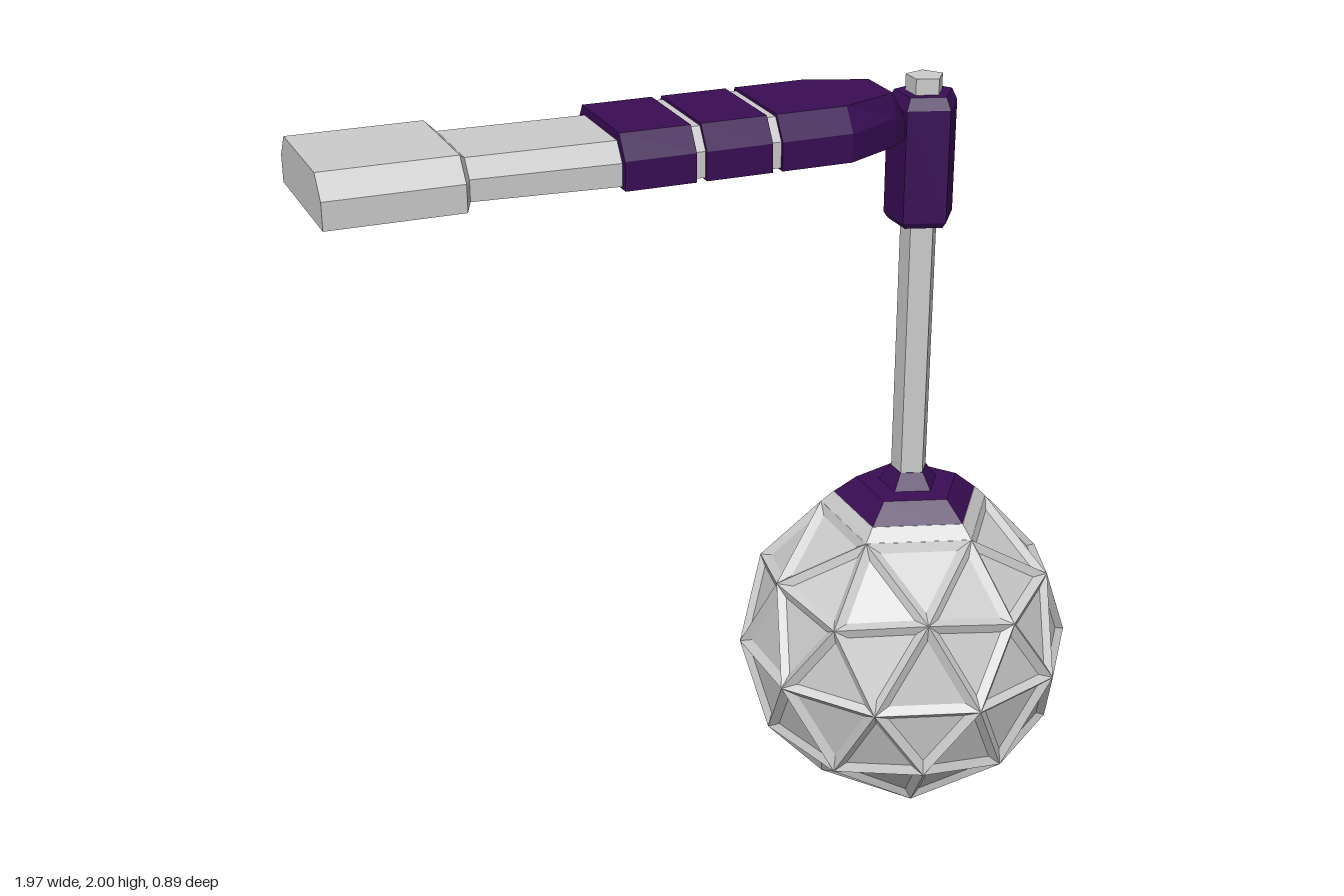
import * as THREE from 'three';

const CX = 0.56, CY = 0.445, R = 0.444;
const grey = new THREE.MeshStandardMaterial({ color: 0xcccccc, flatShading: true });
const purple = new THREE.MeshStandardMaterial({ color: 0x3a0d55, flatShading: true });

function add(group, name, geometry, material) {
  const mesh = new THREE.Mesh(geometry, material);
  mesh.name = name;
  group.add(mesh);
  return mesh;
}

function fromTriangles(tris) {
  const g = new THREE.BufferGeometry();
  g.setAttribute('position', new THREE.Float32BufferAttribute(tris.flatMap(v => [v.x, v.y, v.z]), 3));
  g.computeVertexNormals();
  return g;
}

// Five-sided turned part around the shaft axis, one corner towards +x
function pentagonal(group, name, profile, material) {
  const pts = profile.map(([r, y]) => new THREE.Vector2(r, y));
  const mesh = add(group, name, new THREE.LatheGeometry(pts, 5, Math.PI / 2), material);
  mesh.position.x = CX;
}

// Arm piece along x; stations are [x, half width, bottom y, top y], top edges bevelled
function loft(group, name, stations, material) {
  const rings = stations.map(([x, w, y0, y1]) => {
    const ym = y0 + (y1 - y0) * 0.55, t = w * 0.77;
    return [[y0, w], [y0, -w], [ym, -w], [y1, -t], [y1, t], [ym, w]]
      .map(([y, z]) => new THREE.Vector3(x, y, z));
  });
  const tris = [];
  for (let i = 0; i < rings.length - 1; i++) {
    for (let j = 0; j < 6; j++) {
      const k = (j + 1) % 6, a = rings[i], b = rings[i + 1];
      tris.push(a[j], a[k], b[k], a[j], b[k], b[j]);
    }
  }
  const s = rings[0], e = rings[rings.length - 1];
  for (let j = 1; j < 5; j++) tris.push(s[0], s[j + 1], s[j], e[0], e[j], e[j + 1]);
  add(group, name, fromTriangles(tris), material);
}

// Geodesic ball: every triangle is a bevelled frame around a sunken panel
function geodesicBall() {
  const ring = (y, offset) => Array.from({ length: 5 }, (_, i) => {
    const a = (i * 72 + offset) * Math.PI / 180, r = Math.sqrt(1 - y * y);
    return new THREE.Vector3(r * Math.cos(a), y, r * Math.sin(a));
  });
  const h = 1 / Math.sqrt(5);
  const up = ring(h, 0), low = ring(-h, 36);
  const top = new THREE.Vector3(0, 1, 0), bottom = new THREE.Vector3(0, -1, 0);
  const faces = [];
  for (let i = 0; i < 5; i++) {
    const j = (i + 1) % 5;
    faces.push([top, up[j], up[i]], [up[i], up[j], low[i]],
      [up[j], low[j], low[i]], [bottom, low[i], low[j]]);
  }
  const tris = [];
  const mid = (a, b) => a.clone().add(b).normalize();
  const panel = (...corners) => {
    if (corners.includes(top)) return; // covered by the cap
    const p = corners.map(v => v.clone().multiplyScalar(R));
    const c = p[0].clone().add(p[1]).add(p[2]).divideScalar(3);
    const sink = c.clone().normalize().multiplyScalar(-0.015);
    const q = p.map(v => v.clone().lerp(c, 0.28).add(sink));
    for (let i = 0; i < 3; i++) {
      const j = (i + 1) % 3;
      tris.push(p[i], p[j], q[j], p[i], q[j], q[i]);
    }
    tris.push(q[0], q[1], q[2]);
  };
  for (const [a, b, c] of faces) {
    const ab = mid(a, b), bc = mid(b, c), ca = mid(c, a);
    panel(a, ab, ca);
    panel(ab, b, bc);
    panel(ca, bc, c);
    panel(ab, bc, ca);
  }
  return fromTriangles(tris);
}

export function createModel() {
  const model = new THREE.Group();
  model.name = 'ballFlail';

  // Ball and its cap
  add(model, 'ball', geodesicBall(), grey).position.set(CX, CY, 0);
  pentagonal(model, 'ballLip', [[0.233, 0.823], [0.2, 0.856], [0, 0.856]], grey);
  pentagonal(model, 'ballCap',
    [[0.2, 0.855], [0.14, 0.905], [0.08, 0.908], [0.05, 0.95], [0, 0.95]], purple);

  // Shaft and collar
  pentagonal(model, 'shaft', [[0, 0.9], [0.048, 0.9], [0.048, 2], [0, 2]], grey);
  pentagonal(model, 'collar',
    [[0, 1.63], [0.08, 1.63], [0.091, 1.645], [0.091, 1.93], [0.075, 1.96], [0, 1.96]], purple);

  // Arm: end block, bar and wrapped grip
  loft(model, 'armEnd',
    [[-0.985, 0.187, 1.865, 1.985], [-0.66, 0.187, 1.865, 1.985], [-0.64, 0.142, 1.874, 1.967]], grey);
  loft(model, 'armBar', [[-0.65, 0.142, 1.874, 1.967], [-0.27, 0.142, 1.864, 1.964]], grey);
  loft(model, 'gripCore', [[-0.27, 0.152, 1.864, 1.978], [0.13, 0.152, 1.864, 1.978]], grey);
  for (const [x0, x1] of [[-0.28, -0.105], [-0.08, 0.085]]) {
    loft(model, 'gripBand', [[x0, 0.161, 1.858, 1.985], [x1, 0.161, 1.858, 1.985]], purple);
  }
  loft(model, 'armNeck', [
    [0.11, 0.161, 1.858, 1.985], [0.29, 0.161, 1.858, 1.985],
    [0.44, 0.085, 1.858, 1.985], [0.485, 0.045, 1.858, 1.92], [0.52, 0.03, 1.858, 1.915],
  ], purple);

  return model;
}
